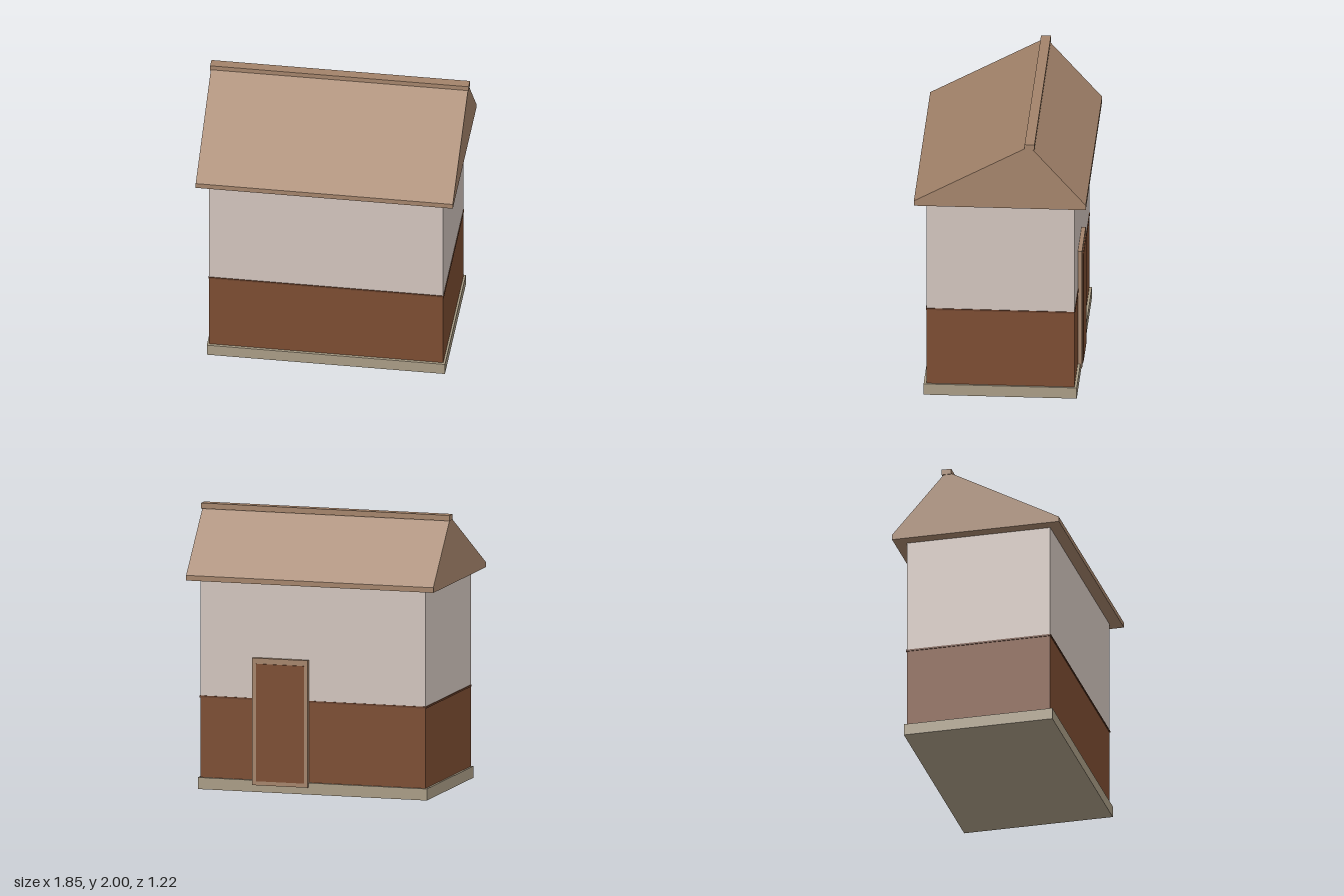
import * as THREE from 'three';

function material(name, color) {
  const m = new THREE.MeshStandardMaterial({ color });
  m.name = name;
  return m;
}

export function createModel() {
  const house = new THREE.Group();
  house.name = 'house';

  const stone = material('stone', 0xa89b84);
  const brick = material('redBrown', 0x7b4c31);
  const plaster = material('plaster', 0xd0c3bc);
  const wood = material('tanWood', 0xa3836a);
  const trim = material('darkTrim', 0x69402a);

  // Box given by its extents on each axis
  function box(name, mat, [x0, x1], [y0, y1], [z0, z1], parent = house) {
    const mesh = new THREE.Mesh(new THREE.BoxGeometry(x1 - x0, y1 - y0, z1 - z0), mat);
    mesh.position.set((x0 + x1) / 2, (y0 + y1) / 2, (z0 + z1) / 2);
    mesh.name = name;
    parent.add(mesh);
    return mesh;
  }

  // Body
  box('foundation', stone, [-0.85, 0.85], [0, 0.083], [-0.54, 0.545]);
  box('lowerWall', brick, [-0.835, 0.835], [0.083, 0.655], [-0.522, 0.525]);
  box('wallTrim', trim, [-0.84, 0.84], [0.655, 0.668], [-0.527, 0.53]);
  box('upperWall', plaster, [-0.835, 0.835], [0.668, 1.5], [-0.522, 0.525]);

  // Asymmetric gable roof: side profile (z, y) extruded along x
  const profile = new THREE.Shape(
    [[-0.61, 1.5], [0.608, 1.5], [0.608, 1.537], [0.21, 1.985], [-0.61, 1.537]]
      .map(([x, y]) => new THREE.Vector2(x, y))
  );
  const roofGeometry = new THREE.ExtrudeGeometry(profile, { depth: 1.835, bevelEnabled: false });
  roofGeometry.rotateY(Math.PI / 2); // profile x becomes -z
  roofGeometry.translate(-0.92, 0, 0);
  const roof = new THREE.Mesh(roofGeometry, wood);
  roof.name = 'roof';
  house.add(roof);
  box('ridgeCap', wood, [-0.925, 0.92], [1.96, 2], [-0.245, -0.175]);

  // Back door
  const door = new THREE.Group();
  door.name = 'backDoor';
  house.add(door);
  box('doorFrame', wood, [0.03, 0.443], [0.05, 0.96], [-0.552, -0.52], door);
  box('doorPanel', brick, [0.057, 0.413], [0.08, 0.92], [-0.56, -0.551], door);

  return house;
}
